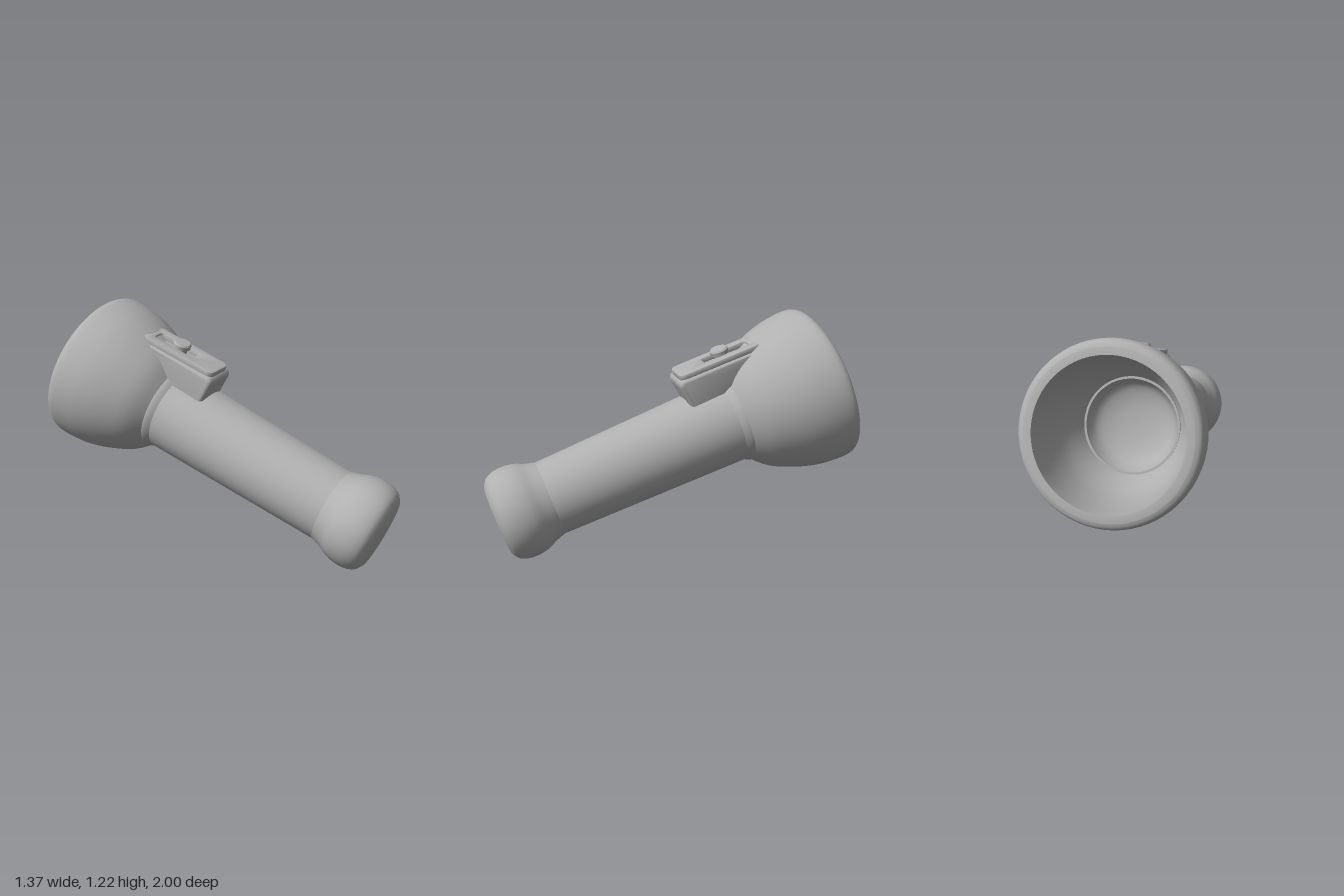
import * as THREE from 'three';
import { toCreasedNormals } from 'three/addons/utils/BufferGeometryUtils.js';

const grey = new THREE.MeshStandardMaterial({ color: 0xb0b0b0, side: THREE.DoubleSide });
grey.name = 'grey';

// Local frame: z runs from the rim towards the tail, y points to the switch side.
const V = (pairs) => pairs.map(([r, s]) => new THREE.Vector2(r, s));
const smooth = (pairs, n = 16) => new THREE.SplineCurve(V(pairs)).getPoints(n);

function part(name, geometry) {
  const mesh = new THREE.Mesh(toCreasedNormals(geometry, 0.6), grey);
  mesh.name = name;
  return mesh;
}

// Turned part from (radius, distance behind the rim) points
function turned(name, points, segments = 48) {
  return part(name, new THREE.LatheGeometry(points, segments).rotateX(Math.PI / 2));
}

// Rounded rectangle path, x across and y along the body
function roundedRect(path, x0, x1, y0, y1, r) {
  path.moveTo(x0 + r, y0);
  path.lineTo(x1 - r, y0);
  path.quadraticCurveTo(x1, y0, x1, y0 + r);
  path.lineTo(x1, y1 - r);
  path.quadraticCurveTo(x1, y1, x1 - r, y1);
  path.lineTo(x0 + r, y1);
  path.quadraticCurveTo(x0, y1, x0, y1 - r);
  path.lineTo(x0, y0 + r);
  path.quadraticCurveTo(x0, y0, x0 + r, y0);
  return path;
}

export function createModel() {
  const model = new THREE.Group();
  model.name = 'flashlight';
  const body = new THREE.Group();
  body.name = 'tiltedBody';
  model.add(body);

  // Head: outer bowl, rim and reflector
  body.add(turned('headShell', [
    ...V([[0.37, 0], [0.405, 0]]),
    ...smooth([[0.412, 0.002], [0.436, 0.018], [0.447, 0.055], [0.443, 0.14], [0.428, 0.23],
      [0.392, 0.34], [0.325, 0.475], [0.24, 0.565]], 26),
  ], 64));
  body.add(turned('reflector',
    smooth([[0.37, 0], [0.358, 0.15], [0.325, 0.3], [0.25, 0.45], [0.235, 0.47]], 18), 64));

  // Lamp seat: thin lip and shallow dish at the bottom of the reflector
  body.add(turned('lampSeat', [
    ...V([[0.252, 0.47], [0.252, 0.44], [0.24, 0.44]]),
    ...smooth([[0.238, 0.45], [0.2, 0.51], [0.11, 0.545], [0, 0.555]], 12),
  ]));

  // Collar where the handle meets the head
  body.add(turned('collar', smooth([[0.24, 0.5], [0.252, 0.53], [0.251, 0.565], [0.232, 0.6]], 10)));

  // Handle with swollen tail cap
  body.add(turned('handle', V([[0.238, 0.5], [0.235, 0.6], [0.22, 1.15], [0.206, 1.66]])));
  body.add(turned('tailCap', [
    ...smooth([[0.206, 1.66], [0.222, 1.715], [0.245, 1.77], [0.254, 1.83], [0.249, 1.885],
      [0.228, 1.93], [0.19, 1.955]], 20),
    new THREE.Vector2(0, 1.96),
  ]));

  // Switch housing: side profile (x along the body, y away from the axis)
  const side = new THREE.Shape();
  side.moveTo(0.345, 0.352);
  side.lineTo(0.42, 0.31);
  side.lineTo(0.53, 0.22);
  side.lineTo(0.58, 0.17);
  side.lineTo(0.765, 0.17);
  side.lineTo(0.795, 0.325);
  side.quadraticCurveTo(0.798, 0.345, 0.775, 0.345);
  side.closePath();
  const housing = new THREE.ExtrudeGeometry(side, {
    depth: 0.16, bevelEnabled: true, bevelThickness: 0.025, bevelSize: 0.02, bevelSegments: 4, curveSegments: 6,
  });
  body.add(part('switchHousing', housing.translate(0, 0, -0.08).rotateY(-Math.PI / 2)));

  // Raised top plate with the slider slot
  const plate = roundedRect(new THREE.Shape(), -0.083, 0.083, 0.325, 0.79, 0.03);
  plate.holes.push(roundedRect(new THREE.Path(), -0.042, 0.042, 0.36, 0.64, 0.02));
  const top = new THREE.ExtrudeGeometry(plate, {
    depth: 0.02, bevelEnabled: true, bevelThickness: 0.008, bevelSize: 0.008, bevelSegments: 2, curveSegments: 6,
  });
  body.add(part('switchPlate', top.rotateX(Math.PI / 2).translate(0, 0.382, 0)));

  // Round switch button
  const button = new THREE.LatheGeometry(
    V([[0.036, 0], [0.036, 0.03], [0.05, 0.034], [0.051, 0.054], [0.044, 0.062], [0, 0.064]]), 24);
  body.add(part('switchButton', button.translate(0, 0.36, 0.53)));

  // Tilt the whole body about the rim centre
  const along = new THREE.Vector3(0.393, -0.302, 0.869).normalize();
  const across = new THREE.Vector3(0, 1, 0).cross(along).normalize();
  const up = along.clone().cross(across);
  body.quaternion.setFromRotationMatrix(new THREE.Matrix4().makeBasis(across, up, along));
  body.position.set(-0.287, 0.798, -0.8);
  return model;
}
